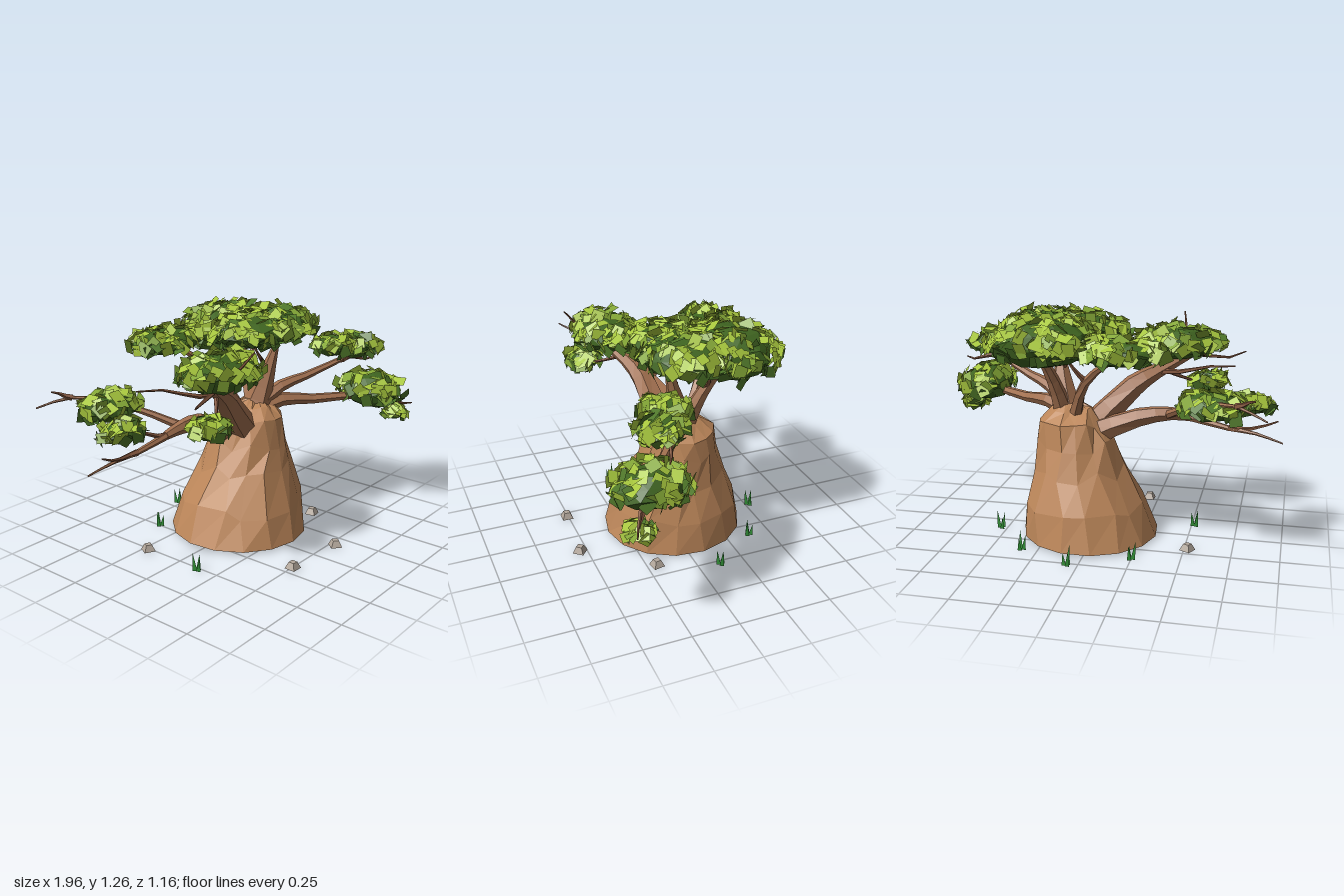
import * as THREE from 'three';
import { mergeGeometries, mergeVertices } from 'three/addons/utils/BufferGeometryUtils.js';

const V = (x, y, z) => new THREE.Vector3(x, y, z);
const paint = (color, side = THREE.FrontSide) => new THREE.MeshStandardMaterial({ color, side, flatShading: true });

// Skin between rings of points, closed with a fan at both ends
function loft(rings) {
  const n = rings[0].length;
  const last = (rings.length - 1) * n;
  const index = [];
  for (let i = 0; i < last; i += n) {
    for (let k = 0; k < n; k++) {
      const a = i + k, b = i + ((k + 1) % n);
      index.push(a, b, b + n, a, b + n, a + n);
    }
  }
  for (let k = 1; k < n - 1; k++) index.push(0, k + 1, k, last, last + k, last + k + 1);
  const g = new THREE.BufferGeometry().setFromPoints(rings.flat());
  g.setIndex(index);
  g.computeVertexNormals();
  return g;
}

export function createModel() {
  let seed = 7;
  const rnd = () => (seed = (seed * 16807) % 2147483647) / 2147483647;
  const jit = (a) => (rnd() * 2 - 1) * a;

  const tree = new THREE.Group();
  tree.name = 'tree';
  const bark = paint(0xbd875a);
  const limbBark = paint(0xa37150);
  const twigBark = paint(0x86583f);
  const core = paint(0x3f6420);
  const leafTones = [0xa8c83e, 0x83a636, 0x50782a].map((c) => paint(c, THREE.DoubleSide));
  const stone = paint(0xb4a89c);
  const blade = paint(0x2f8a34);

  const add = (geometry, material, name, parent = tree) => {
    const mesh = new THREE.Mesh(geometry, material);
    mesh.name = name;
    parent.add(mesh);
    return mesh;
  };

  // Trunk: flared rings (height, radius) leaning towards +x as they rise
  const trunkRings = [[0.015, 0.37], [0.19, 0.328], [0.38, 0.25], [0.52, 0.208], [0.64, 0.178], [0.7, 0.11], [0.73, 0.045]]
    .map(([y, r], i) => Array.from({ length: 15 }, (_, k) => {
      const loose = i ? 1 : 0;
      const a = (k / 15) * Math.PI * 2 + loose * jit(0.11);
      const s = r * (1 + loose * jit(0.045));
      return V(0.035 + y * 0.16 + Math.sin(a) * s, y + loose * jit(i < 4 ? 0.035 : 0.015), -0.04 + Math.cos(a) * s * 1.03);
    }));
  add(loft(trunkRings), bark, 'trunk');

  // Tapering faceted limb along a curve
  function limb(name, curve, r0, r1, segments, sides, material) {
    const rings = Array.from({ length: segments + 1 }, (_, i) => {
      const f = i / segments;
      const c = curve.getPoint(f), t = curve.getTangent(f);
      const u = (Math.abs(t.y) > 0.95 ? V(0, 0, 1) : V(0, 1, 0)).cross(t).normalize();
      const v = t.clone().cross(u);
      const r = r0 + (r1 - r0) * Math.pow(f, 0.75);
      return Array.from({ length: sides }, (_, k) => {
        const a = (k / sides) * Math.PI * 2;
        return c.clone().addScaledVector(u, Math.cos(a) * r).addScaledVector(v, Math.sin(a) * r);
      });
    });
    add(loft(rings), material, name);
  }
  const branch = (name, r0, r1, ...pts) =>
    limb(name, new THREE.CatmullRomCurve3(pts.map((p) => V(...p))), r0, r1, 6, 6, limbBark);
  branch('upperRightBranch', 0.09, 0.025, [0.06, 0.56, 0], [-0.18, 0.82, 0.05], [-0.29, 0.89, 0.1], [-0.5, 1.0, 0.22]);
  branch('lowerRightBranch', 0.075, 0.022, [0.03, 0.56, -0.05], [-0.23, 0.68, -0.08], [-0.4, 0.705, -0.06], [-0.52, 0.69, -0.06]);
  branch('outerRightBranch', 0.022, 0.004, [-0.5, 0.692, -0.06], [-0.7, 0.65, -0.08], [-0.84, 0.635, -0.1], [-0.98, 0.6, -0.13]);
  branch('rearRightBranch', 0.024, 0.004, [-0.38, 0.7, -0.07], [-0.57, 0.82, -0.3], [-0.76, 0.87, -0.47], [-0.91, 0.83, -0.57]);
  branch('lowerLeftBranch', 0.055, 0.02, [0.15, 0.67, -0.02], [0.3, 0.71, 0.06], [0.45, 0.695, 0.16], [0.75, 0.7, 0.37]);
  branch('upperLeftBranch', 0.05, 0.014, [0.15, 0.68, -0.02], [0.29, 0.79, 0.06], [0.42, 0.83, 0.13], [0.66, 0.92, 0.26]);
  branch('crownFrontBranch', 0.095, 0.012, [0.17, 0.66, -0.03], [0.21, 0.87, 0.02], [0.24, 1.06, 0.07]);
  branch('crownBackBranch', 0.06, 0.018, [0.18, 0.66, -0.04], [0.22, 0.87, -0.13], [0.28, 1.06, -0.24]);
  branch('backBranch', 0.042, 0.012, [0.12, 0.64, -0.08], [0.03, 0.88, -0.2], [-0.2, 1.08, -0.34]);

  // Thin crooked twigs, each from a limb to a tip
  [
    [-0.7, 0.65, -0.08, -0.95, 0.695, -0.06], [-0.5, 0.69, -0.06, -0.8, 0.77, -0.08],
    [-0.76, 0.87, -0.47, -0.85, 0.91, -0.52], [-0.29, 0.89, 0.1, -0.72, 0.97, -0.05],
    [-0.42, 0.95, 0.18, -0.75, 0.97, 0.35], [-0.42, 0.95, 0.18, -0.4, 1.17, 0.41],
    [-0.29, 0.89, 0.1, -0.56, 0.82, 0.27], [0.7, 0.7, 0.35, 0.98, 0.61, 0.51],
    [0.84, 0.66, 0.43, 0.88, 0.54, 0.48], [0.62, 0.9, 0.24, 0.86, 0.88, 0.31],
    [0.21, 0.87, 0.02, 0.08, 1.08, 0.02], [0.22, 0.89, -0.14, 0.38, 1.08, -0.12],
    [0.03, 0.89, -0.2, 0.14, 1.06, -0.26],
  ].forEach((e) => {
    const from = V(...e.slice(0, 3)), to = V(...e.slice(3));
    const bend = from.distanceTo(to) * 0.07;
    const kink = (f) => from.clone().lerp(to, f).add(V(jit(bend), jit(bend), jit(bend)));
    limb('twig', new THREE.CatmullRomCurve3([from, kink(0.33), kink(0.67), to]), 0.018, 0.004, 4, 5, twigBark);
  });

  // Foliage clump: faceted core under a shell of loose square leaves
  function clump(name, c, r) {
    const group = new THREE.Group();
    group.name = name;
    group.position.set(...c);
    tree.add(group);
    let g = new THREE.IcosahedronGeometry(1, 1);
    g.deleteAttribute('uv');
    g.deleteAttribute('normal');
    g = mergeVertices(g);
    const p = g.attributes.position;
    for (let i = 0; i < p.count; i++) {
      const s = 0.89 + jit(0.08);
      p.setXYZ(i, p.getX(i) * r[0] * s, p.getY(i) * r[1] * s, p.getZ(i) * r[2] * s);
    }
    g.computeVertexNormals();
    add(g, core, 'foliageCore', group);

    const sets = [[], [], []];
    const holder = new THREE.Object3D();
    const count = Math.round(20 + 2100 * r[0] * r[2]);
    for (let i = 0; i < count; i++) {
      const y = 1 - 1.4 * ((i + 0.5) / count);
      const a = i * 2.4 + jit(0.4), h = Math.sqrt(1 - y * y);
      const d = V(Math.cos(a) * h, y, Math.sin(a) * h);
      const s = 0.98 + jit(0.11);
      holder.position.set(d.x * r[0] * s, d.y * r[1] * s, d.z * r[2] * s);
      const n = V(d.x / r[0], d.y / r[1], d.z / r[2]).normalize();
      n.add(V(jit(0.75), jit(0.75), jit(0.75)));
      holder.lookAt(holder.position.clone().add(n));
      holder.rotateZ(rnd() * 3.1);
      holder.updateMatrix();
      const leaf = new THREE.PlaneGeometry(0.058 + jit(0.014), 0.064 + jit(0.014));
      const tone = y < -0.1 ? 2 : Math.floor(rnd() * rnd() * 3);
      sets[tone].push(leaf.applyMatrix4(holder.matrix));
    }
    sets.forEach((s, i) => s.length && add(mergeGeometries(s), leafTones[i], 'leaves', group));
  }
  clump('crownFrontFoliage', [0.1, 1.12, 0.01], [0.25, 0.095, 0.2]);
  clump('crownSideFoliage', [0.29, 1.125, 0], [0.23, 0.1, 0.23]);
  clump('crownBackFoliage', [0.23, 1.09, -0.26], [0.29, 0.14, 0.26]);
  clump('backFoliage', [-0.18, 1.07, -0.35], [0.23, 0.075, 0.16]);
  clump('upperRightFoliage', [-0.39, 1.03, 0.19], [0.24, 0.1, 0.18]);
  clump('hangingRightFoliage', [-0.56, 0.81, 0.27], [0.1, 0.06, 0.09]);
  clump('lowerRightFoliage', [-0.64, 0.82, -0.32], [0.17, 0.08, 0.12]);
  clump('lowerRightTipFoliage', [-0.8, 0.78, -0.08], [0.12, 0.055, 0.08]);
  clump('upperLeftFoliage', [0.57, 0.99, 0.22], [0.12, 0.065, 0.12]);
  clump('upperLeftTipFoliage', [0.7, 0.97, 0.29], [0.12, 0.07, 0.12]);
  clump('lowerLeftFoliage', [0.75, 0.72, 0.36], [0.155, 0.11, 0.19]);
  clump('lowerLeftTipFoliage', [0.87, 0.57, 0.46], [0.07, 0.04, 0.06]);

  // Stones
  [[-0.2, 0.51], [0.15, 0.54], [0.42, 0.2], [-0.52, -0.21]].forEach(([x, z], i) => {
    const m = add(new THREE.CylinderGeometry(0.022, 0.043, 0.035, 4), stone, 'stone');
    m.position.set(x, 0.026, z);
    m.rotation.y = 0.75 + i * 0.9;
  });

  // Grass tufts: a few leaning pointed blades
  [[0.53, -0.12], [0.335, -0.38], [0.055, -0.52], [-0.25, -0.38], [-0.52, 0.14]].forEach(([x, z], t) => {
    const tuft = new THREE.Group();
    tuft.name = 'grassTuft';
    tuft.position.set(x, 0.005, z);
    for (let i = 0; i < 3; i++) {
      const h = 0.1 - i * 0.017;
      const a = i * 2.1 + t;
      const m = add(new THREE.ConeGeometry(0.014, h, 3).translate(0, h / 2, 0), blade, 'grassBlade', tuft);
      m.position.set(Math.cos(a) * 0.012, 0, Math.sin(a) * 0.012);
      m.rotation.set(Math.sin(a) * 0.12, 0, -Math.cos(a) * 0.12);
    }
    tree.add(tuft);
  });
  return tree;
}
